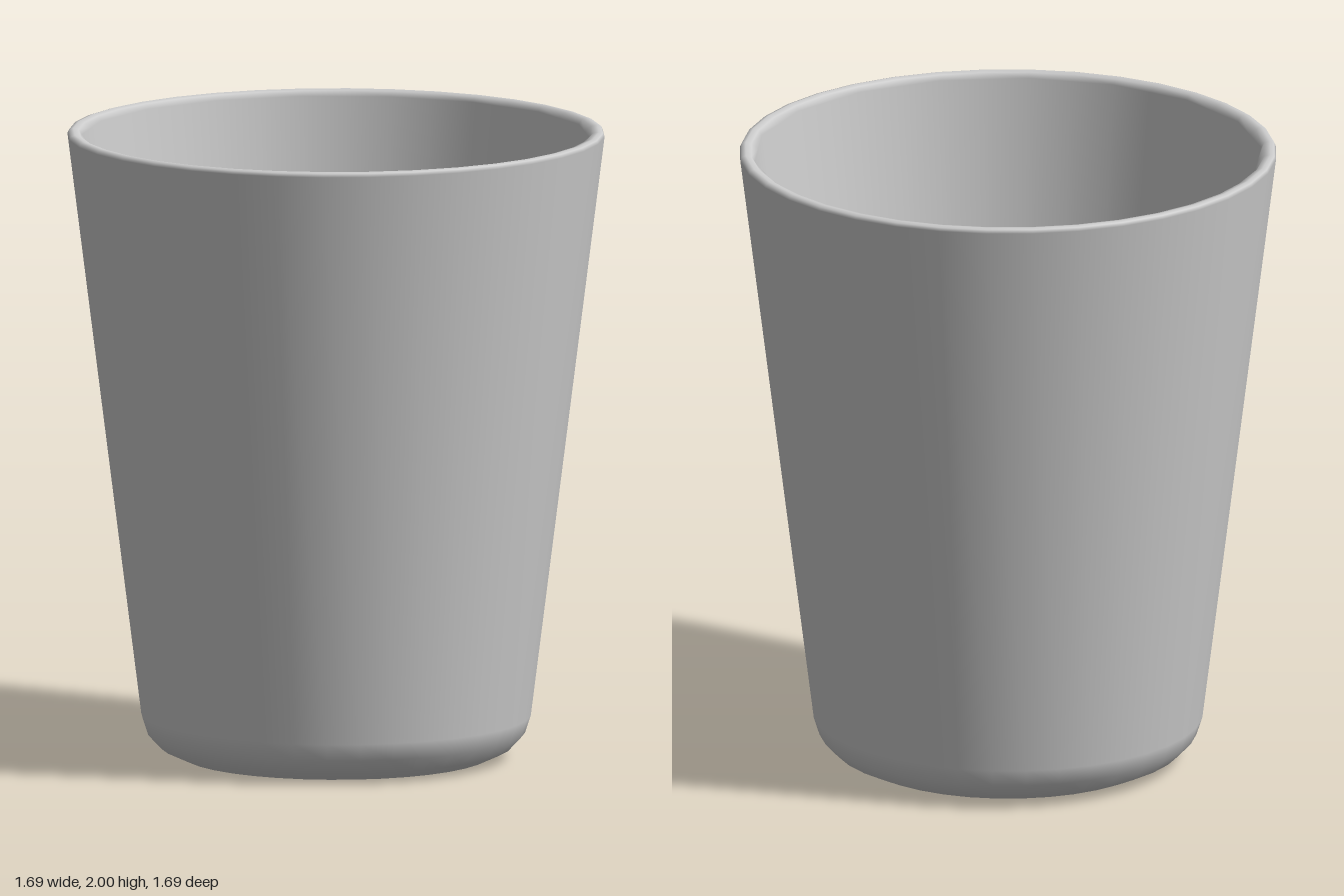
import * as THREE from 'three';

const SIDES = 36;

// Outer wall, from the centre of the base up to the rim
const OUTER = [
  [0, 0], [0.46, 0], [0.485, 0.003], [0.555, 0.035], [0.597, 0.08], [0.615, 0.135],
  [0.848, 1.985], [0.843, 1.996], [0.83, 2.0],
];
// Inner wall, from the rim down to the centre of the floor
const INNER = [
  [0.812, 1.996], [0.802, 1.98], [0.565, 0.15], [0.54, 0.09], [0.49, 0.055], [0.45, 0.05], [0, 0.05],
];

export function createModel() {
  const group = new THREE.Group();
  group.name = 'tumbler';

  const profile = [...OUTER, ...INNER].map(([r, y]) => new THREE.Vector2(r, y));
  const geometry = new THREE.LatheGeometry(profile, SIDES, THREE.MathUtils.degToRad(95));

  // The inside has half as many sides: pull every second column onto the chord
  const position = geometry.attributes.position;
  const chord = Math.cos((2 * Math.PI) / SIDES);
  for (let column = 1; column < SIDES; column += 2) {
    for (let j = OUTER.length + 1; j < profile.length; j++) {
      const i = column * profile.length + j;
      position.setX(i, position.getX(i) * chord);
      position.setZ(i, position.getZ(i) * chord);
    }
  }

  const cup = new THREE.Mesh(geometry, new THREE.MeshStandardMaterial({ color: 0xcccccc }));
  cup.name = 'cupBody';
  group.add(cup);
  return group;
}
